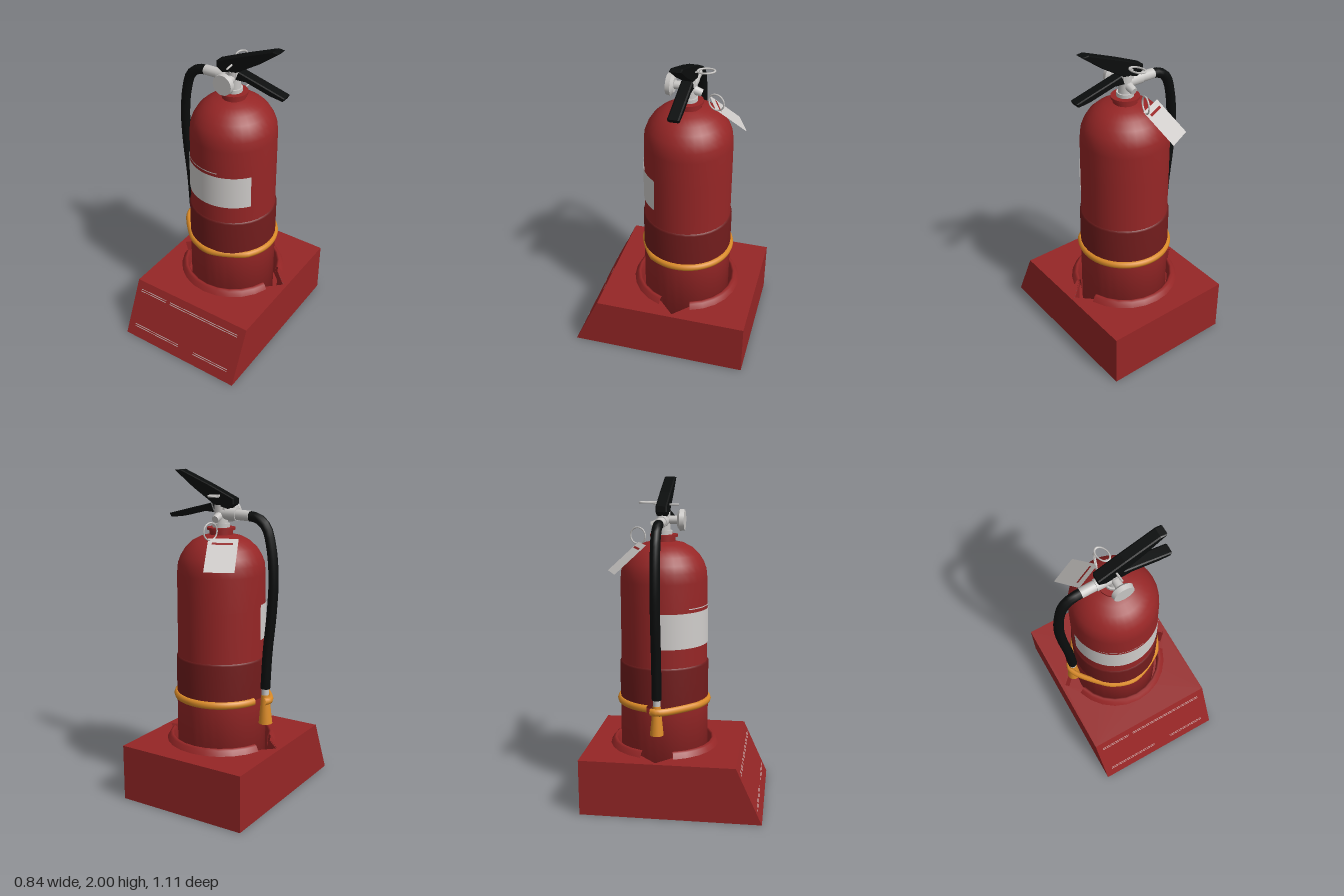
import * as THREE from 'three';

const mat = (name, color, extra = {}) => Object.assign(new THREE.MeshStandardMaterial({ color, ...extra }), { name });
const V = (x, y, z) => new THREE.Vector3(x, y, z);
const AXIS_Z = -0.09; // bottle axis

export function createModel() {
  const root = new THREE.Group();
  root.name = 'fireExtinguisherOnStand';
  const two = { side: THREE.DoubleSide };
  const red = mat('red', 0x962626, two);
  const darkRed = mat('dark red', 0x711c1c, two);
  const white = mat('white', 0xd0cdcb, two);
  const silver = mat('silver', 0xc8c6c4, two);
  const black = mat('black', 0x0b0d0d);
  const orange = mat('orange', 0xdc8c28);

  const add = (name, geo, material, x = 0, y = 0, z = 0) => {
    const m = new THREE.Mesh(geo, material);
    m.name = name;
    m.position.set(x, y, z);
    root.add(m);
    return m;
  };
  // Flat four-cornered face, corners counter-clockwise
  const quad = (name, corners, material) => {
    const g = new THREE.BufferGeometry().setFromPoints(corners);
    g.setIndex([0, 1, 2, 0, 2, 3]);
    g.computeVertexNormals();
    return add(name, g, material);
  };
  // Round rod between two points
  const rod = (name, a, b, r1, r2, material, sides = 16) => {
    const d = b.clone().sub(a);
    const m = add(name, new THREE.CylinderGeometry(r2, r1, d.length(), sides), material);
    m.position.copy(a).addScaledVector(d, 0.5);
    m.quaternion.setFromUnitVectors(V(0, 1, 0), d.normalize());
    return m;
  };
  const lathe = (pts, seg, start, len) =>
    new THREE.LatheGeometry(pts.map(p => new THREE.Vector2(...p)), seg, start, len);

  // Hollow stand: sloped front, open underneath
  const W = 0.42, H = 0.35, D = 0.555, F = 0.395;
  quad('standFront', [V(-W, 0, D), V(W, 0, D), V(W, H, F), V(-W, H, F)], red);
  quad('standBack', [V(W, 0, -D), V(-W, 0, -D), V(-W, H, -D), V(W, H, -D)], red);
  quad('standLeft', [V(W, 0, D), V(W, 0, -D), V(W, H, -D), V(W, H, F)], red);
  quad('standRight', [V(-W, 0, -D), V(-W, 0, D), V(-W, H, F), V(-W, H, -D)], red);

  // Socket outline: circle with a pointed notch on each side
  const outline = (scale, dy) => {
    const pts = [];
    for (const turn of [0, Math.PI]) {
      for (let i = -6; i <= 6; i++) {
        const a = turn + i * 0.21;
        pts.push([0.315 * Math.sin(a), 0.315 * Math.cos(a)]);
      }
      pts.push([turn ? -0.4 : 0.4, 0]);
    }
    return pts.map(([x, y]) => new THREE.Vector2(x * scale, y * scale + dy));
  };
  const top = new THREE.Shape([[-W, -F], [W, -F], [W, D], [-W, D]].map(p => new THREE.Vector2(...p)));
  top.holes.push(new THREE.Path(outline(1, -AXIS_Z)));
  add('standTop', new THREE.ShapeGeometry(top).rotateX(-Math.PI / 2), red, 0, H, 0);
  const wall = new THREE.Shape(outline(1, 0));
  wall.holes.push(new THREE.Path(outline(0.98, 0)));
  add('socketWall', new THREE.ExtrudeGeometry(wall, { depth: 0.188, bevelEnabled: false }).rotateX(-Math.PI / 2),
    red, 0, 0.16, AXIS_Z);
  add('socketFloor', new THREE.ShapeGeometry(new THREE.Shape(outline(1, 0))).rotateX(Math.PI / 2),
    red, 0, 0.16, AXIS_Z);

  // Raised collar halves around the socket
  const collar = [[0.345, 0.345], [0.325, 0.38], [0.31, 0.388], [0.297, 0.38], [0.292, 0.3]];
  for (const [name, turn] of [['frontCollar', 0], ['backCollar', Math.PI]])
    add(name, lathe(collar, 10, turn - 1.27, 2.54), red, 0, 0, AXIS_Z);

  // Thin painted lines on the sloped front
  for (const [y, spans] of [[0.295, [[-0.38, -0.18], [-0.15, 0.37]]], [0.072, [[-0.37, -0.02], [0.1, 0.36]]]])
    for (const [x0, x1] of spans)
      for (const dy of [-0.006, 0.006]) {
        const z = h => D - (D - F) * h / H + 0.002;
        const y0 = y + dy - 0.002, y1 = y + dy + 0.002;
        quad('standLine', [V(x0, y0, z(y0)), V(x1, y0, z(y0)), V(x1, y1, z(y1)), V(x0, y1, z(y1))], white);
      }

  // Bottle
  add('bottleFoot', lathe([[0, 0.17], [0.275, 0.17], [0.275, 0.65]], 32), red, 0, 0, AXIS_Z);
  add('bottleSleeve', lathe([[0.276, 0.65], [0.276, 0.885], [0.267, 0.895]], 32), darkRed, 0, 0, AXIS_Z);
  add('bottleBody', lathe([[0.267, 0.89], [0.267, 1.2], [0.266, 1.4], [0.26, 1.46], [0.243, 1.505],
    [0.215, 1.55], [0.175, 1.588], [0.125, 1.615], [0.072, 1.628]], 32), red, 0, 0, AXIS_Z);
  add('bottleNeck', new THREE.CylinderGeometry(0.07, 0.07, 0.05, 24), red, 0, 1.64, AXIS_Z);
  add('neckFlange', new THREE.CylinderGeometry(0.085, 0.085, 0.014, 24), red, 0, 1.662, AXIS_Z);

  // Wrapped label with a small line above it
  const band = (name, y0, y1, a0, a1) =>
    add(name, lathe([[0.2715, y0], [0.2715, y1]], 24, a0, a1 - a0), white, 0, 0, AXIS_Z);
  band('label', 1.012, 1.226, -1.55, 0.98);
  band('labelLine', 1.246, 1.252, -0.85, 0.2);

  // Strap around the bottle, looping out to hold the nozzle
  const strap = [];
  for (let i = 0; i <= 24; i++) {
    const a = -1.8 - i * (3.62 / 24) * 1.0;
    strap.push(V(0.276 * Math.sin(a), 0, 0.276 * Math.cos(a)));
  }
  strap.push(V(0, 0, 0.276), V(-0.14, 0, 0.238), V(-0.21, 0, 0.18), V(-0.32, 0, 0.05), V(-0.338, 0, 0), V(-0.325, 0, -0.035));
  add('strap', new THREE.TubeGeometry(new THREE.CatmullRomCurve3(strap), 90, 0.018, 8), orange, 0, 0.645, AXIS_Z)
    .scale.y = 1.3;

  // Hose and nozzle
  const hz = AXIS_Z;
  const hose = new THREE.CatmullRomCurve3([V(-0.19, 1.745, hz), V(-0.25, 1.735, hz), V(-0.305, 1.69, hz),
    V(-0.34, 1.58, hz), V(-0.358, 1.4, hz), V(-0.35, 1.2, hz), V(-0.325, 0.95, hz), V(-0.312, 0.72, hz)]);
  add('hose', new THREE.TubeGeometry(hose, 28, 0.03, 10), black);
  rod('hoseEnd', V(-0.312, 0.67, hz), V(-0.312, 0.725, hz), 0.022, 0.022, silver);
  rod('nozzle', V(-0.316, 0.5, hz), V(-0.312, 0.68, hz), 0.042, 0.024, orange);

  // Valve, hose fitting and gauge
  rod('valveCollar', V(0, 1.665, hz), V(0, 1.692, hz), 0.052, 0.052, silver);
  rod('valveBody', V(0, 1.69, hz), V(0, 1.8, hz), 0.042, 0.038, silver);
  add('valveHead', new THREE.BoxGeometry(0.07, 0.1, 0.055), silver, -0.005, 1.8, hz);
  rod('hoseFitting', V(-0.2, 1.745, hz), V(-0.11, 1.748, hz), 0.031, 0.031, silver);
  rod('hoseFittingNeck', V(-0.11, 1.748, hz), V(0, 1.75, hz), 0.036, 0.036, silver);
  rod('gaugeStem', V(0, 1.755, hz), V(0, 1.755, 0.01), 0.025, 0.025, silver);
  rod('gaugeBack', V(0, 1.755, -0.005), V(0, 1.755, 0.01), 0.045, 0.065, silver, 24);
  rod('gauge', V(0, 1.755, 0.01), V(0, 1.755, 0.038), 0.066, 0.062, silver, 24);

  // Carrying handle and squeeze lever
  const lever = (name, pts) => {
    const s = new THREE.Shape(pts.map(p => new THREE.Vector2(...p)));
    add(name, new THREE.ExtrudeGeometry(s, { depth: 0.052, bevelThickness: 0.008, bevelSize: 0.004, bevelSegments: 1 }),
      black, 0, 0, hz - 0.026);
  };
  lever('squeezeLever', [[-0.1, 1.81], [-0.06, 1.785], [0.03, 1.805], [0.18, 1.9], [0.305, 1.992],
    [0.27, 1.994], [0.06, 1.91], [-0.1, 1.84]]);
  lever('carryHandle', [[0.03, 1.76], [0.1, 1.765], [0.26, 1.725], [0.34, 1.715], [0.35, 1.732],
    [0.2, 1.77], [0.05, 1.808]]);

  // Safety pin with pull ring
  rod('safetyPin', V(0.01, 1.845, 0), V(-0.005, 1.848, -0.15), 0.006, 0.006, silver, 8);
  const pull = add('pinRing', new THREE.TorusGeometry(0.045, 0.006, 6, 20).rotateX(Math.PI / 2), silver, -0.01, 1.858, -0.185);
  pull.scale.set(0.7, 1, 1.1);
  pull.rotation.y = 0.3;
  rod('pinSeat', V(0, 1.745, hz), V(-0.005, 1.72, -0.165), 0.03, 0.022, silver, 10);

  // Tag hanging from a ring at the back
  const ring = add('tagRing', new THREE.TorusGeometry(0.05, 0.005, 6, 20), silver, -0.025, 1.66, -0.245);
  ring.rotation.y = Math.PI / 2 - 0.3;
  const tag = [V(-0.17, 1.62, -0.17), V(-0.01, 1.62, -0.245), V(-0.09, 1.455, -0.42), V(-0.25, 1.455, -0.345)];
  quad('tag', tag.slice().reverse(), white);
  const onTag = (u, v) => tag[0].clone().lerp(tag[1], u).lerp(tag[3].clone().lerp(tag[2], u), v).add(V(0, 0.003, -0.003));
  quad('tagLine', [onTag(0.15, 0.2), onTag(0.85, 0.2), onTag(0.85, 0.14), onTag(0.15, 0.14)], red);

  return root;
}
